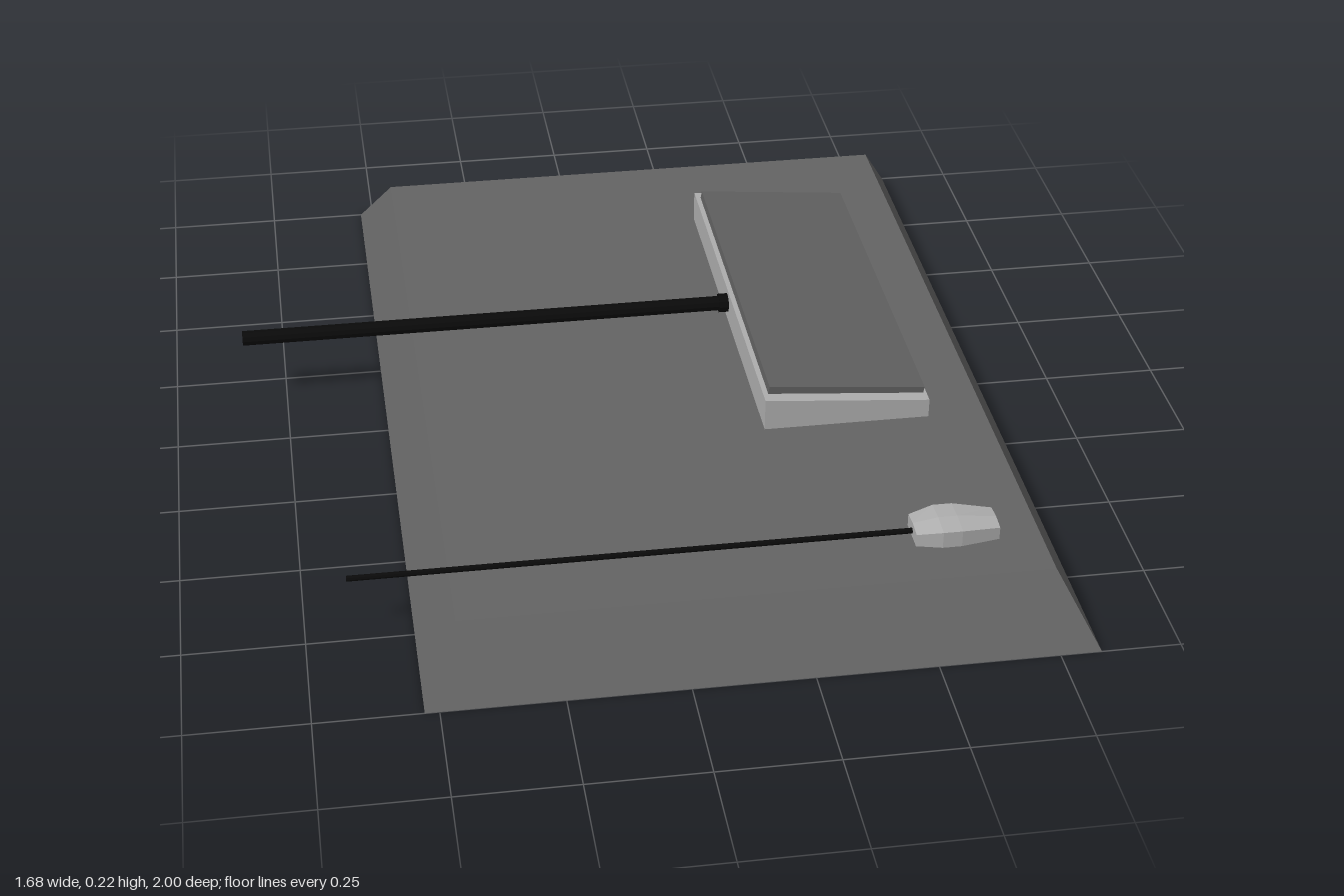
import * as THREE from 'three';

const paint = (name, color) => {
  const m = new THREE.MeshStandardMaterial({ color, flatShading: true });
  m.name = name;
  return m;
};

// Unit box (sides at -0.5..0.5) whose corners are moved by a rule
function shapedBox(name, material, rule, segX = 1, segZ = 1) {
  const g = new THREE.BoxGeometry(1, 1, 1, segX, 1, segZ);
  const p = g.attributes.position;
  for (let i = 0; i < p.count; i++) p.setXYZ(i, ...rule(p.getX(i), p.getY(i), p.getZ(i)));
  g.computeVertexNormals();
  const mesh = new THREE.Mesh(g, material);
  mesh.name = name;
  return mesh;
}

// Straight round rod along x
function rod(name, material, x0, x1, y, z, r, sides) {
  const g = new THREE.CylinderGeometry(r, r, x1 - x0, sides);
  g.rotateZ(Math.PI / 2);
  const mesh = new THREE.Mesh(g, material);
  mesh.position.set((x0 + x1) / 2, y, z);
  mesh.name = name;
  return mesh;
}

export function createModel() {
  const slab = paint('dark grey', 0x646464);
  const keyGrey = paint('key grey', 0x606060);
  const light = paint('light grey', 0xb0b0b0);
  const black = paint('black', 0x0a0a0a);
  const model = new THREE.Group();
  const deck = 0.135;

  // Sloped-sided base
  model.add(shapedBox('base', slab, (x, y, z) => {
    const top = y > 0;
    return [0.153 + x * (top ? 1.215 : 1.365), top ? deck : 0, z * (top ? 1.78 : 2)];
  }));

  // Keyboard: wedge body, tilted key panel, cable with collar
  const keyboard = new THREE.Group();
  keyboard.name = 'keyboard';
  keyboard.add(shapedBox('keyboardBody', light, (x, y, z) =>
    [0.453 + x * 0.364, y < 0 ? deck : 0.193 - x * 0.03, -0.155 + z * 0.936]));
  keyboard.add(shapedBox('keyPanel', keyGrey, (x, y, z) =>
    [0.456 + x * 0.345 + y * 0.003, 0.199 - x * 0.031 + y * 0.02, -0.157 + z * 0.882]));
  keyboard.add(rod('keyboardCable', black, -0.84, 0.275, 0.175, -0.157, 0.017, 10));
  keyboard.add(rod('cableCollar', black, 0.25, 0.272, 0.175, -0.157, 0.022, 10));
  model.add(keyboard);

  // Mouse: stations along x as [x, half width, top height]
  const mouse = new THREE.Group();
  mouse.name = 'mouse';
  const stations = [
    [0.497, 0.037, 0.163], [0.55, 0.05, 0.172], [0.59, 0.05, 0.172], [0.672, 0.036, 0.163],
  ];
  mouse.add(shapedBox('mouseBody', light, (x, y, z) => {
    const [sx, half, top] = stations[Math.round((x + 0.5) * 3)];
    const ridge = Math.abs(z) < 0.1 ? 0.004 : 0;
    return [sx, y < 0 ? deck : top + ridge, 0.74 + z * 2 * half];
  }, 3, 2));
  mouse.add(rod('mouseCable', black, -0.66, 0.5, 0.148, 0.74, 0.006, 8));
  model.add(mouse);

  return model;
}
